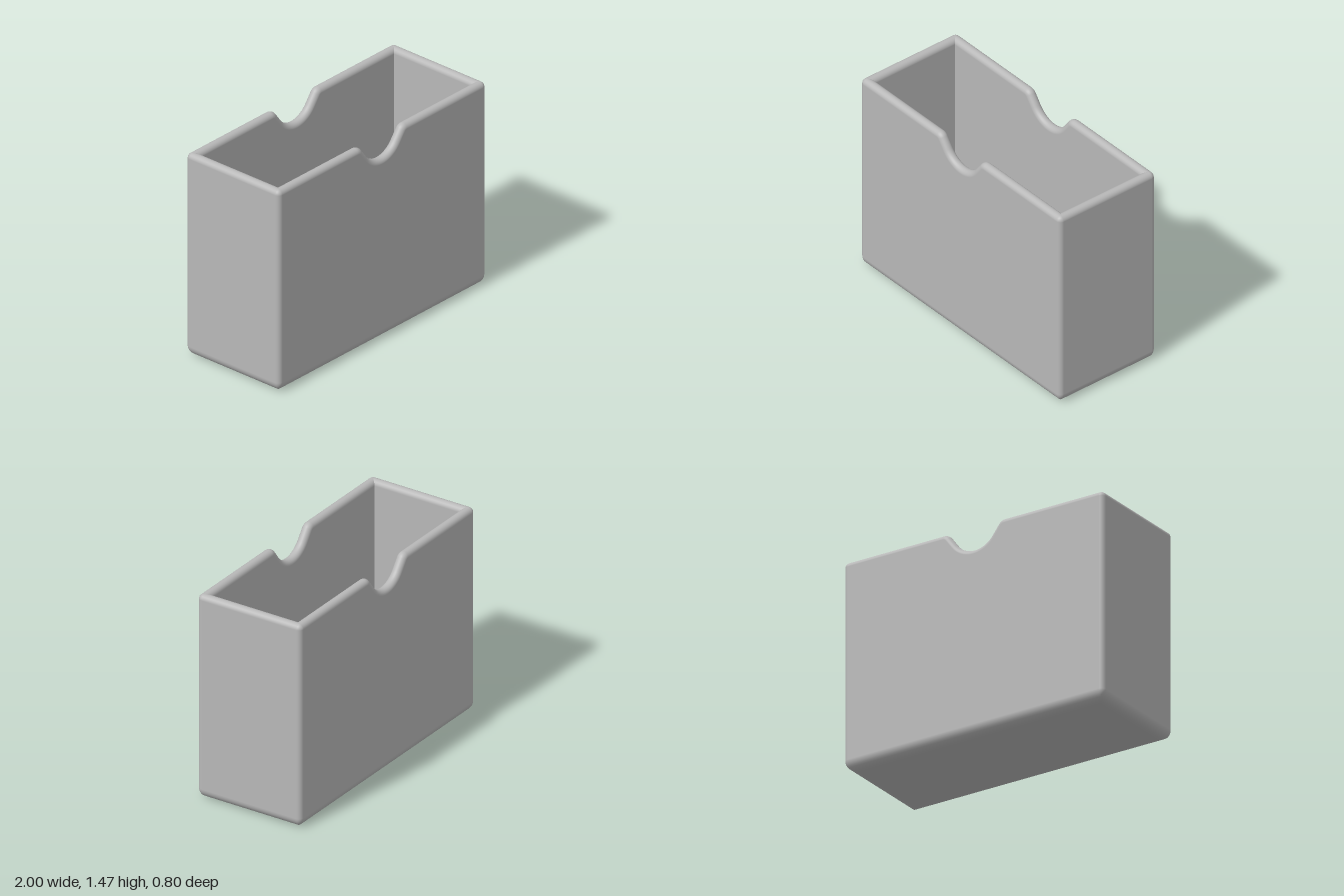
import * as THREE from 'three';

const HX = 1, HZ = 0.4, H = 1.465;   // half width, half depth, height
const WALL = 0.07, RIM = WALL / 2;   // wall thickness, rim rounding
const CORNER = 0.035, BASE = 0.07;   // vertical edge and bottom edge radii
const FLOOR = 0.07, FILLET = 0.015;  // inside floor height and its fillet

// Thumb notch: one half of the top edge curve, from the middle outwards.
function halfNotch() {
  const R = 0.17, r = 0.06, depth = 0.16, slope = 0.93, steps = 10;
  const pts = [];
  for (let i = 0; i <= steps; i++) {
    const a = slope * i / steps;
    pts.push({ x: R * Math.sin(a), top: H - depth + R * (1 - Math.cos(a)), nx: -Math.sin(a), ny: Math.cos(a) });
  }
  const last = pts[steps];
  const y1 = H - r * (1 - Math.cos(slope));
  const x1 = last.x + (y1 - last.top) / Math.tan(slope);
  for (let i = 0; i <= steps; i++) {
    const a = slope * (1 - i / steps);
    pts.push({ x: x1 + r * (Math.sin(slope) - Math.sin(a)), top: H - r * (1 - Math.cos(a)), nx: -Math.sin(a), ny: Math.cos(a) });
  }
  return pts;
}

// Points around the box: four rounded corners with a notch in front and back.
function perimeter() {
  const half = halfNotch();
  const mirrored = half.slice(1).reverse().map(p => ({ ...p, x: -p.x, nx: -p.nx }));
  const notch = [...mirrored, ...half];
  const loop = [];
  const addCorner = (k, sx, sz) => {
    for (let i = 0; i <= 6; i++) {
      const t = (k + i / 6) * Math.PI / 2;
      loop.push({ sx, sz, dx: Math.sin(t), dz: Math.cos(t), top: H, nx: 0, ny: 1 });
    }
  };
  const addNotch = (list, side) => list.forEach(p => loop.push({ ...p, side, dx: 0, dz: side }));
  addCorner(0, 1, 1);
  addCorner(1, 1, -1);
  addNotch([...notch].reverse(), -1);
  addCorner(2, -1, -1);
  addCorner(3, -1, 1);
  addNotch(notch, 1);
  return loop;
}

// Wall section from under the base, up the outside, over the rim, down to the floor.
// d: inset, y or drop below the top edge, h / v: outward and upward normal.
function section() {
  const rows = [{ d: HZ, y: 0, h: 0, v: -1 }];
  for (let i = 0; i <= 8; i++) {
    const a = i / 8 * Math.PI / 2;
    rows.push({ d: BASE * (1 - Math.sin(a)), y: BASE * (1 - Math.cos(a)), h: Math.sin(a), v: -Math.cos(a) });
  }
  for (let i = 0; i <= 12; i++) {
    const a = i / 12 * Math.PI;
    rows.push({ d: RIM * (1 - Math.cos(a)), drop: RIM * (1 - Math.sin(a)), h: Math.cos(a), v: Math.sin(a) });
  }
  for (let i = 0; i <= 4; i++) {
    const a = i / 4 * Math.PI / 2;
    rows.push({ d: WALL + FILLET * (1 - Math.cos(a)), y: FLOOR + FILLET * (1 - Math.sin(a)), h: -Math.cos(a), v: Math.sin(a) });
  }
  rows.push({ d: HZ, y: FLOOR, h: 0, v: 1 });
  return rows;
}

function boxGeometry() {
  const loop = perimeter(), rows = section(), n = loop.length;
  const pos = [], nor = [], index = [];
  for (const row of rows) {
    const r = Math.max(CORNER - row.d, 0);
    const onRim = row.drop !== undefined;
    for (const p of loop) {
      let x = p.side ? p.x : p.sx * (HX - row.d - r) + p.dx * r;
      const z = p.side ? p.side * (HZ - row.d) : p.sz * (HZ - row.d - r) + p.dz * r;
      let y = row.y;
      if (onRim) {
        x -= p.nx * row.drop;
        y = p.top - p.ny * row.drop;
      }
      pos.push(x, y, z);
      nor.push(p.dx * row.h + (onRim ? p.nx * row.v : 0), (onRim ? p.ny : 1) * row.v, p.dz * row.h);
    }
  }
  // Triangles, leaving out those that collapse at sharp corners
  const at = i => new THREE.Vector3().fromArray(pos, i * 3);
  const addTri = (a, b, c) => {
    if (new THREE.Triangle(at(a), at(b), at(c)).getArea() > 1e-9) index.push(a, b, c);
  };
  for (let j = 0; j < rows.length - 1; j++) {
    for (let i = 0; i < n; i++) {
      const k = (i + 1) % n;
      const a = j * n + i, b = j * n + k, c = b + n, d = a + n;
      addTri(a, b, c);
      addTri(a, c, d);
    }
  }
  const geo = new THREE.BufferGeometry();
  geo.setAttribute('position', new THREE.Float32BufferAttribute(pos, 3));
  geo.setAttribute('normal', new THREE.Float32BufferAttribute(nor, 3));
  geo.setIndex(index);
  return geo;
}

export function createModel() {
  const grey = new THREE.MeshStandardMaterial({ color: 0xb8b8b8 });
  grey.name = 'light grey';
  const group = new THREE.Group();
  group.name = 'openBox';
  const shell = new THREE.Mesh(boxGeometry(), grey);
  shell.name = 'boxShell';
  group.add(shell);
  return group;
}
